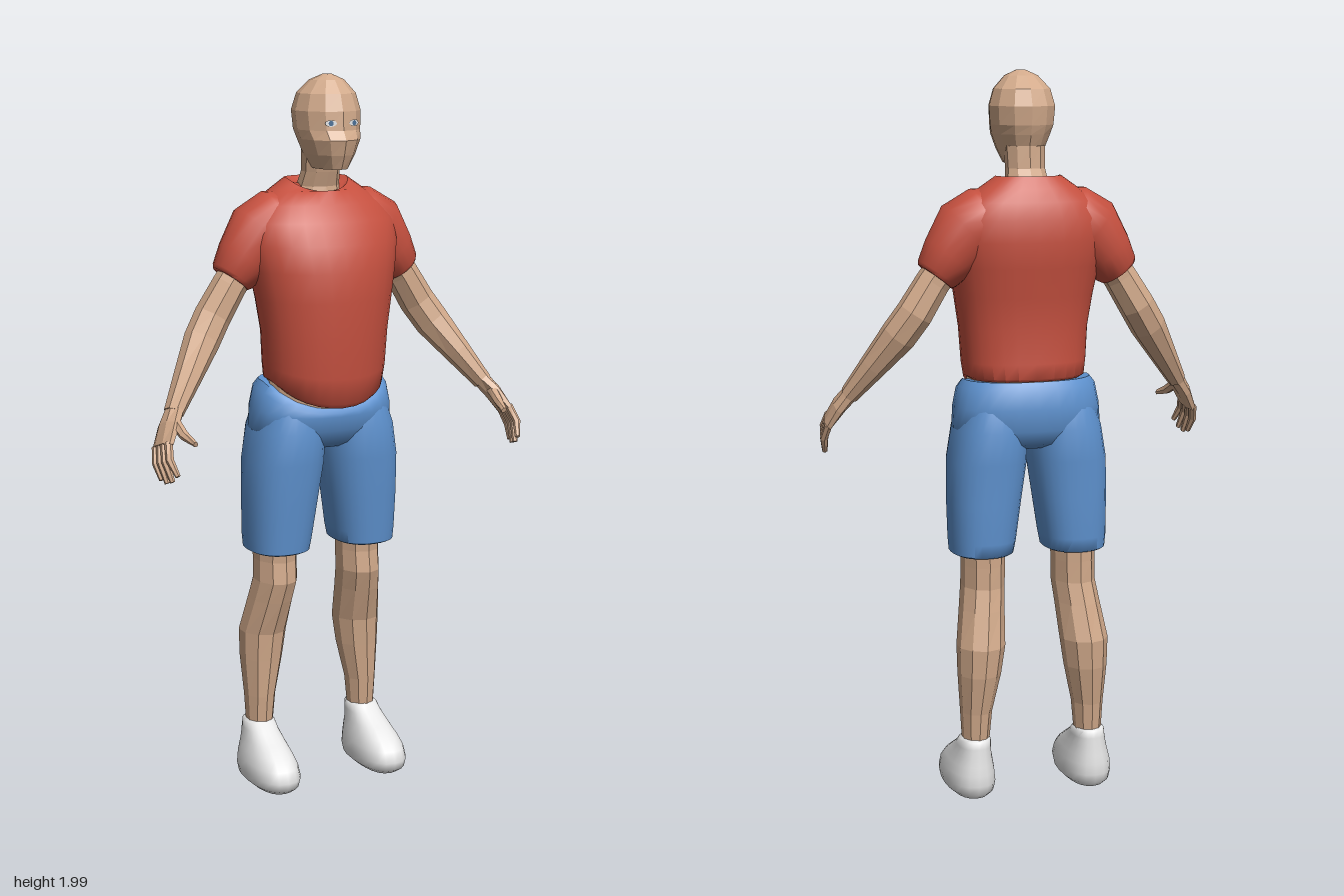
import * as THREE from 'three';
import { toCreasedNormals } from 'three/addons/utils/BufferGeometryUtils.js';

const mat = (name, color, flatShading = false) => {
  const m = new THREE.MeshStandardMaterial({ color, flatShading });
  m.name = name;
  return m;
};

// Skins a list of rings (each an array of Vector3) and closes both ends
function loft(rings, smooth) {
  const n = rings[0].length, pos = [], idx = [];
  rings.forEach(r => r.forEach(p => pos.push(p.x, p.y, p.z)));
  for (let i = 0; i < rings.length - 1; i++) {
    for (let j = 0; j < n; j++) {
      const a = i * n + j, b = i * n + (j + 1) % n;
      idx.push(a, b, b + n, a, b + n, a + n);
    }
  }
  [0, rings.length - 1].forEach((r, end) => {
    const c = new THREE.Vector3();
    rings[r].forEach(p => c.addScaledVector(p, 1 / n));
    const k = pos.length / 3;
    pos.push(c.x, c.y, c.z);
    for (let j = 0; j < n; j++) {
      const a = r * n + j, b = r * n + (j + 1) % n;
      end ? idx.push(k, a, b) : idx.push(k, b, a);
    }
  });
  const g = new THREE.BufferGeometry();
  g.setAttribute('position', new THREE.Float32BufferAttribute(pos, 3));
  g.setIndex(idx);
  if (smooth) return toCreasedNormals(g, 0.95);
  g.computeVertexNormals();
  return g;
}

// Level rings, bottom to top: [y, centre x, half width, front z, back z, front drop]
function stack(rows, n, smooth, power = 2, frontPower = power) {
  return loft(rows.map(([y, cx, rx, zf, zb, drop = 0]) => {
    const cz = (zf + zb) / 2, rz = (zf - zb) / 2, ring = [];
    for (let j = 0; j < n; j++) {
      const t = j / n * Math.PI * 2, s = Math.sin(t), c = Math.cos(t);
      const e = 2 / (c > 0 ? frontPower : power);
      ring.push(new THREE.Vector3(
        cx + rx * Math.sign(s) * Math.abs(s) ** e,
        y - drop * Math.max(0, c) ** 1.3,
        cz + rz * Math.sign(c) * Math.abs(c) ** e));
    }
    return ring;
  }), n, smooth);
}

// Limb along a path: [x, y, z, thickness radius, depth radius]
function limb(pts, side, n, smooth) {
  const c = pts.map(p => new THREE.Vector3(p[0] * side, p[1], p[2]));
  return loft(pts.map((p, i) => {
    const t = c[Math.min(i + 1, c.length - 1)].clone().sub(c[Math.max(i - 1, 0)]).normalize();
    const b = new THREE.Vector3(0, 0, 1).addScaledVector(t, -t.z).normalize();
    const a = b.clone().cross(t);
    return Array.from({ length: n }, (_, j) => {
      const w = (j + 0.5) / n * Math.PI * 2;
      return c[i].clone().addScaledVector(a, p[3] * Math.cos(w)).addScaledVector(b, p[4] * Math.sin(w));
    });
  }), smooth);
}

export function createModel() {
  const model = new THREE.Group();
  model.name = 'person';
  const skin = mat('skin', 0xd2aa8b, true), red = mat('shirt red', 0xc5503f);
  const blue = mat('shorts blue', 0x5e92cf), white = mat('shoe white', 0xe6e6e6);
  const eyeWhite = mat('eye white', 0xf2f2f2), iris = mat('iris blue', 0x4a6f96);
  const add = (name, geo, m, parent = model) => {
    const mesh = new THREE.Mesh(geo, m);
    mesh.name = name;
    parent.add(mesh);
    return mesh;
  };
  // Ring stacks: smooth clothes and faceted skin
  const cloth = (rows, power, front) => smoothStack(rows, 28, power, front);
  const smoothStack = (rows, n, power = 2, front = power) => {
    const g = stack(rows, n, true, power, front);
    return toCreasedNormals(g, 0.95);
  };

  // Head and neck
  add('head', stack([
    [1.752, 0, 0.044, 0.092, -0.06], [1.79, 0, 0.064, 0.108, -0.075],
    [1.83, 0, 0.08, 0.119, -0.092], [1.855, 0, 0.087, 0.104, -0.1],
    [1.905, 0, 0.091, 0.1, -0.105], [1.95, 0, 0.078, 0.085, -0.088],
    [1.985, 0, 0.046, 0.052, -0.045], [2, 0, 0.012, 0.02, -0.008],
  ], 12, false), skin);
  add('neck', stack([
    [1.64, 0, 0.085, 0.01, -0.12], [1.7, 0, 0.06, 0.002, -0.105],
    [1.74, 0, 0.054, 0.015, -0.085], [1.8, 0, 0.056, 0.03, -0.082],
  ], 10, false), skin);

  // Torso clothes
  add('shirt', cloth([
    [1.172, 0, 0.155, 0.105, -0.14, 0.065], [1.18, 0, 0.166, 0.118, -0.15, 0.06],
    [1.22, 0, 0.172, 0.126, -0.148, 0.03], [1.31, 0, 0.178, 0.131, -0.145],
    [1.4, 0, 0.192, 0.134, -0.155], [1.48, 0, 0.207, 0.131, -0.17],
    [1.55, 0, 0.222, 0.112, -0.178], [1.61, 0, 0.218, 0.082, -0.172],
    [1.655, 0, 0.185, 0.05, -0.16], [1.69, 0, 0.135, 0.02, -0.142],
    [1.722, 0, 0.09, 0.004, -0.122, 0.035], [1.71, 0, 0.075, -0.002, -0.112, 0.035],
  ], 2.5, 2.1), red);
  add('belly', stack([
    [1.02, 0, 0.15, 0.07, -0.13], [1.12, 0, 0.168, 0.088, -0.145], [1.2, 0, 0.16, 0.1, -0.13],
  ], 16, false), skin);
  add('shortsHips', cloth([
    [0.985, 0, 0.1, 0.035, -0.12], [1.0, 0, 0.17, 0.06, -0.15], [1.04, 0, 0.207, 0.085, -0.172],
    [1.1, 0, 0.203, 0.093, -0.175, 0.02], [1.155, 0, 0.192, 0.093, -0.168, 0.065],
    [1.174, 0, 0.178, 0.086, -0.155, 0.072],
  ], 2.4), blue);

  for (const s of [1, -1]) {
    const side = new THREE.Group();
    side.name = s > 0 ? 'leftSide' : 'rightSide';
    model.add(side);
    const shift = rows => rows.map(r => [r[0], r[1] * s, ...r.slice(2)]);

    // Eye: white plate with an iris
    const eye = new THREE.Group();
    eye.name = 'eye';
    eye.position.set(0.034 * s, 1.875, 0.096);
    eye.rotation.y = 0.24 * s;
    side.add(eye);
    add('eyeWhite', new THREE.CircleGeometry(0.016, 12).scale(1, 0.55, 1), eyeWhite, eye);
    add('iris', new THREE.CircleGeometry(0.007, 10).translate(0, 0, 0.002), iris, eye);

    // Sleeve and arm
    add('sleeve', limb([
      [0.09, 1.6, -0.06, 0.09, 0.085], [0.125, 1.595, -0.06, 0.1, 0.092],
      [0.17, 1.57, -0.06, 0.1, 0.09], [0.222, 1.508, -0.06, 0.077, 0.075],
      [0.253, 1.465, -0.06, 0.062, 0.064], [0.259, 1.457, -0.06, 0.055, 0.057],
      [0.254, 1.464, -0.06, 0.045, 0.048],
    ].slice(0, 6), s, 20, true), red, side);
    add('arm', limb([
      [0.2, 1.53, -0.06, 0.045, 0.05], [0.265, 1.44, -0.056, 0.047, 0.05],
      [0.315, 1.36, -0.056, 0.05, 0.052], [0.355, 1.3, -0.038, 0.05, 0.05],
      [0.415, 1.215, 0.005, 0.038, 0.043], [0.475, 1.13, 0.048, 0.026, 0.032],
    ], s, 8), skin, side);

    // Hand with four fingers and a thumb
    const hand = new THREE.Group();
    hand.name = 'hand';
    side.add(hand);
    add('palm', limb([
      [0.468, 1.14, 0.043, 0.023, 0.03], [0.498, 1.1, 0.068, 0.021, 0.044],
      [0.525, 1.052, 0.092, 0.015, 0.047],
    ], s, 8), skin, hand);
    for (let f = 0; f < 4; f++) {
      const k = f / 3; // little finger to index finger
      const len = [0, 0.012, 0.012, 0][f];
      add('finger', limb([
        [0.532 - 0.012 * k, 1.045 + 0.022 * k, 0.06 + 0.058 * k, 0.011, 0.012],
        [0.541 - 0.012 * k, 1.005 + 0.022 * k, 0.083 + 0.065 * k, 0.011, 0.011],
        [0.535 - 0.018 * k, 0.966 - len + 0.022 * k, 0.105 + 0.068 * k, 0.007, 0.008],
      ], s, 6), skin, hand);
    }
    add('thumb', limb([
      [0.487, 1.115, 0.075, 0.016, 0.017], [0.48, 1.085, 0.13, 0.013, 0.014],
      [0.468, 1.07, 0.178, 0.007, 0.009],
    ], s, 6), skin, hand);

    // Shorts leg, lower leg and shoe
    add('shortsLeg', cloth(shift([
      [0.69, 0.132, 0.076, 0.042, -0.145], [0.695, 0.132, 0.086, 0.052, -0.153],
      [0.73, 0.13, 0.091, 0.056, -0.157], [0.84, 0.123, 0.1, 0.068, -0.16],
      [0.95, 0.114, 0.107, 0.08, -0.167], [1.04, 0.105, 0.1, 0.086, -0.172],
      [1.1, 0.1, 0.085, 0.07, -0.155],
    ]), 2.4), blue, side);
    add('lowerLeg', stack(shift([
      [0.14, 0.164, 0.036, -0.06, -0.145], [0.25, 0.162, 0.044, -0.05, -0.156],
      [0.36, 0.154, 0.06, -0.042, -0.177], [0.44, 0.149, 0.067, -0.035, -0.183],
      [0.54, 0.138, 0.062, 0, -0.158], [0.6, 0.131, 0.06, 0.019, -0.142],
      [0.66, 0.13, 0.06, 0.012, -0.14], [0.76, 0.13, 0.062, 0.02, -0.14],
    ]), 10, false), skin, side);
    add('shoe', smoothStack(shift([
      [0.006, 0.17, 0.05, 0.08, -0.145], [0.02, 0.17, 0.066, 0.1, -0.16],
      [0.045, 0.17, 0.071, 0.107, -0.165], [0.075, 0.17, 0.067, 0.095, -0.164],
      [0.1, 0.169, 0.06, 0.065, -0.161], [0.125, 0.168, 0.052, 0.022, -0.158],
      [0.15, 0.167, 0.046, -0.025, -0.156], [0.17, 0.166, 0.043, -0.052, -0.154],
      [0.175, 0.166, 0.038, -0.058, -0.148],
    ]), 20, 2.4), white, side);
  }
  return model;
}
